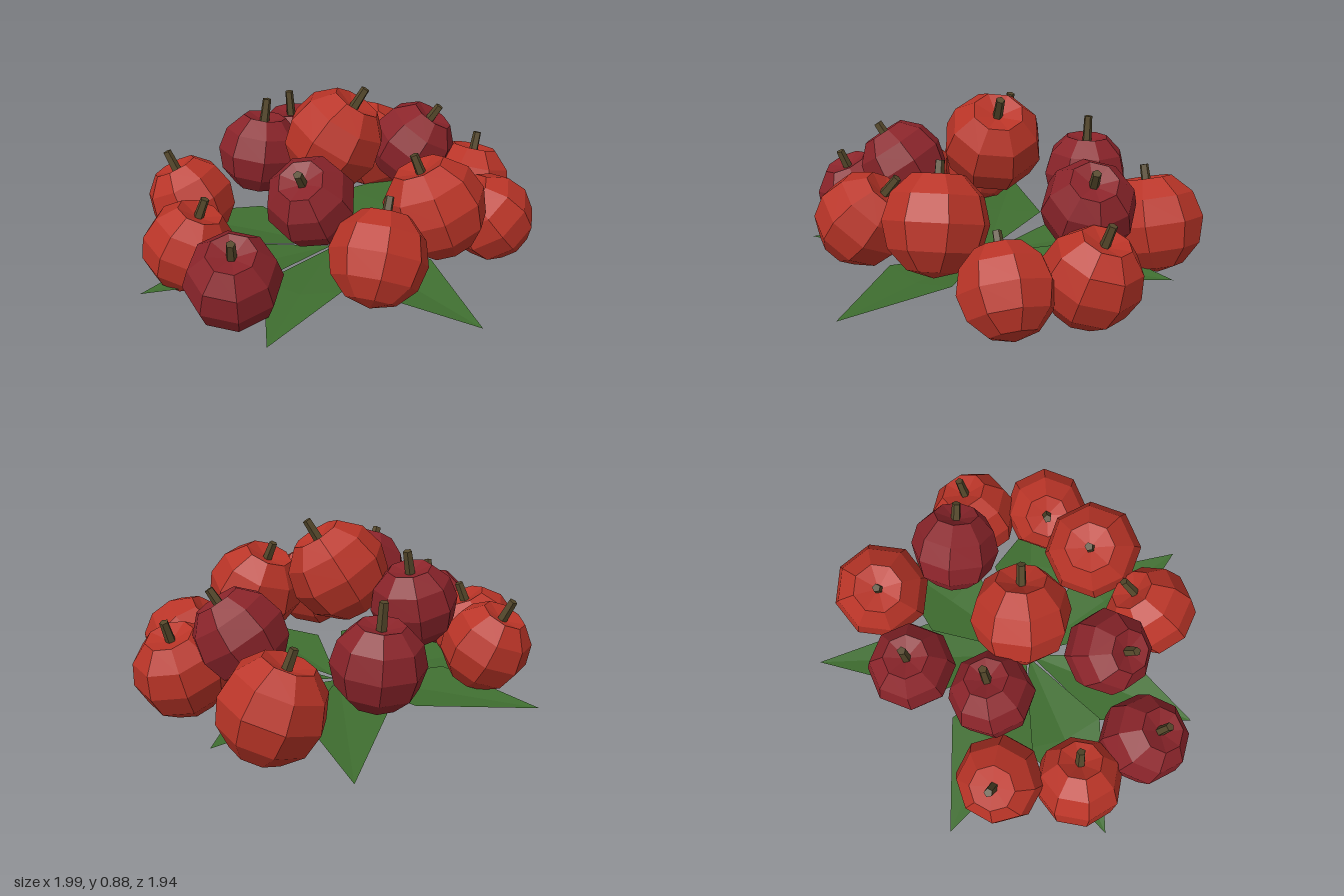
import * as THREE from 'three';

const mat = (name, color, extra = {}) => {
  const m = new THREE.MeshStandardMaterial({ color, flatShading: true, ...extra });
  m.name = name;
  return m;
};

// Eight-sided fruit of unit radius with a dimple at the top
function fruitGeometry() {
  const g = new THREE.SphereGeometry(1, 8, 6);
  const p = g.attributes.position;
  for (let i = 0; i < p.count; i++) if (p.getY(i) > 0.99) p.setY(i, 0.72);
  const flat = g.toNonIndexed();
  flat.computeVertexNormals();
  return flat;
}

// Kite-shaped leaf running from the centre to its tip, folded along the midrib
function leafGeometry(tx, tz, tipY, halfWidth) {
  const len = Math.hypot(tx, tz);
  const dx = tx / len, dz = tz / len;
  const at = (along, side, y) => [dx * along - dz * side, y, dz * along + dx * side];
  const base = at(0.02, 0, 0.04), mid = at(0.5, 0, 0.06), tip = at(len, 0, tipY);
  const left = at(0.47, -halfWidth, 0.095), right = at(0.47, halfWidth, 0.075);
  const g = new THREE.BufferGeometry();
  const tris = [base, mid, left, left, mid, tip, base, right, mid, mid, right, tip];
  g.setAttribute('position', new THREE.Float32BufferAttribute(tris.flat(), 3));
  g.computeVertexNormals();
  return g;
}

export function createModel() {
  const model = new THREE.Group();
  model.name = 'fruitPile';
  const red = mat('bright red', 0xb93427);
  const dark = mat('dark red', 0x8a242a);
  const brown = mat('stem brown', 0x54472a);
  const green = mat('leaf green', 0x3f6e30, { side: THREE.DoubleSide });

  // Fruits: colour, centre, radius, offset of the stem tip, spin in degrees
  const fruits = [
    [red, [-0.555, 0.27, -0.445], 0.215, [-0.075, 0.24, -0.09], 10],
    [dark, [-0.23, 0.5, -0.31], 0.205, [0.05, 0.26, -0.01], 20],
    [dark, [0.115, 0.36, -0.575], 0.215, [-0.01, 0.29, -0.02], 18],
    [red, [0.595, 0.245, -0.53], 0.245, [-0.09, 0.26, -0.03], 33],
    [dark, [0.56, 0.42, -0.115], 0.22, [0.11, 0.21, 0.08], 12],
    [red, [0.775, 0.215, 0.09], 0.228, [0.08, 0.26, -0.03], 30],
    [red, [0.015, 0.615, -0.025], 0.24, [0.13, 0.245, 0.07], 28],
    [red, [-0.735, 0.22, -0.115], 0.215, [0.08, 0.24, 0.045], 28],
    [dark, [-0.7, 0.22, 0.265], 0.222, [-0.045, 0.24, 0.085], 22],
    [dark, [-0.3, 0.495, 0.27], 0.208, [-0.11, 0.19, 0.07], 28],
    [red, [-0.17, 0.335, 0.605], 0.222, [0.13, 0.21, -0.105], 14],
    [red, [0.225, 0.41, 0.49], 0.242, [-0.07, 0.25, -0.08], 18],
    [red, [0.62, 0.22, 0.44], 0.217, [-0.14, 0.2, -0.07], 20],
  ];
  const body = fruitGeometry();
  const up = new THREE.Vector3(0, 1, 0);
  fruits.forEach(([color, centre, r, tipOffset, spin], i) => {
    const fruit = new THREE.Group();
    fruit.name = `fruit${i + 1}`;
    const tip = new THREE.Vector3(...tipOffset);
    const reach = tip.length();
    fruit.position.set(...centre);
    fruit.quaternion.setFromUnitVectors(up, tip.normalize());

    const flesh = new THREE.Mesh(body, color);
    flesh.name = 'fruitBody';
    flesh.scale.setScalar(r);
    flesh.rotation.y = THREE.MathUtils.degToRad(spin);

    // Tapered stem rooted in the dimple
    const bottom = 0.65 * r;
    const stem = new THREE.Mesh(new THREE.CylinderGeometry(0.021, 0.025, reach - bottom, 5), brown);
    stem.name = 'stem';
    stem.position.y = (reach + bottom) / 2;
    fruit.add(flesh, stem);
    model.add(fruit);
  });

  // Leaves fanned out below: tip x, tip z, tip height, half width
  [
    [-0.635, -0.765, 0.06, 0.22],
    [0.455, -0.975, 0.08, 0.2],
    [0.835, -0.41, 0.06, 0.2],
    [0.66, 0.38, 0.06, 0.19],
    [0.13, 0.965, 0.06, 0.2],
    [-0.71, 0.565, 0.055, 0.19],
    [-0.995, -0.1, 0.055, 0.2],
  ].forEach((leaf, i) => {
    const mesh = new THREE.Mesh(leafGeometry(...leaf), green);
    mesh.name = `leaf${i + 1}`;
    model.add(mesh);
  });
  return model;
}
